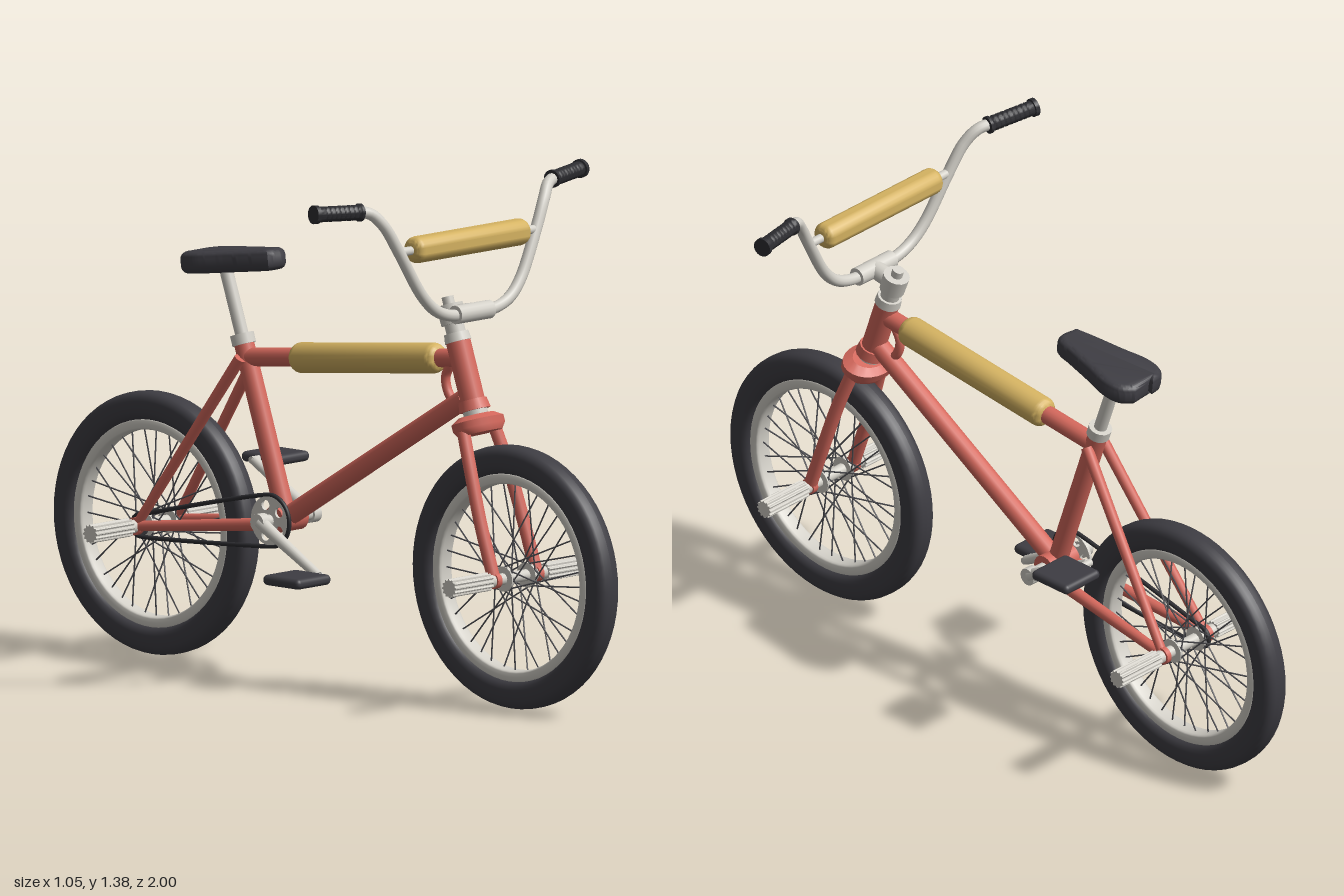
import * as THREE from 'three';
import { mergeGeometries, toCreasedNormals } from 'three/addons/utils/BufferGeometryUtils.js';
import { RoundedBoxGeometry } from 'three/addons/geometries/RoundedBoxGeometry.js';

const mat = (name, color) => {
  const m = new THREE.MeshStandardMaterial({ color });
  m.name = name;
  return m;
};
const V = (x, y, z) => new THREE.Vector3(x, y, z);
const UP = V(0, 1, 0);

const AXLE_Y = 0.355, AXLE_Z = 0.648;
const CRANK = V(0, 0.42, -0.18);
// point on the steering axis at height y
const steer = (y) => V(0, y, AXLE_Z - 0.34 * (y - AXLE_Y));

export function createModel() {
  const red = mat('frame red', 0xd4685c);
  const silver = mat('silver', 0xd3d0c8);
  const gold = mat('pad gold', 0xd4b261);
  const rubber = mat('rubber', 0x3e3d43);
  const black = mat('grip black', 0x2d2d31);
  const steel = mat('spoke steel', 0x55555a);

  const bike = new THREE.Group();
  bike.name = 'bicycle';

  const add = (name, geo, m, parent = bike) => {
    const mesh = new THREE.Mesh(geo, m);
    mesh.name = name;
    parent.add(mesh);
    return mesh;
  };
  // place a y-aligned geometry at a, pointing at b
  const aim = (geo, a, b) => {
    const q = new THREE.Quaternion().setFromUnitVectors(UP, b.clone().sub(a).normalize());
    return geo.applyQuaternion(q).translate(a.x, a.y, a.z);
  };
  const rodGeo = (a, b, ra, rb = ra, sides = 16) => {
    const len = a.distanceTo(b);
    return aim(new THREE.CylinderGeometry(rb, ra, len, sides).translate(0, len / 2, 0), a, b);
  };
  const rod = (name, a, b, ra, m, rb = ra, parent = bike) => add(name, rodGeo(a, b, ra, rb), m, parent);
  const tube = (name, pts, r, m, closed = false, seg = 40) =>
    add(name, new THREE.TubeGeometry(new THREE.CatmullRomCurve3(pts, closed), seg, r, 12, closed), m);
  const lathe = (pts, seg = 24) =>
    toCreasedNormals(new THREE.LatheGeometry(pts.map(p => new THREE.Vector2(...p)), seg), 0.6);
  // foam sleeve with rounded ends
  const pad = (name, a, b, r) => {
    const L = a.distanceTo(b), e = r * 0.6, pts = [[0, 0]];
    for (let i = 0; i <= 5; i++) {
      const t = i / 5 * Math.PI / 2;
      pts.push([r - e + e * Math.sin(t), e - e * Math.cos(t)]);
    }
    for (let i = 5; i >= 0; i--) pts.push([pts[i + 1][0], L - pts[i + 1][1]]);
    pts.push([0, L]);
    return add(name, aim(lathe(pts), a, b), gold);
  };

  // ridged foot peg
  const pegShape = new THREE.Shape();
  for (let i = 0; i < 48; i++) {
    const t = i / 48 * Math.PI * 2, r = i % 4 < 2 ? 0.025 : 0.021;
    pegShape[i ? 'lineTo' : 'moveTo'](Math.cos(t) * r, Math.sin(t) * r);
  }
  const pegGeo = new THREE.ExtrudeGeometry(pegShape, { depth: 0.15, bevelEnabled: false })
    .rotateY(Math.PI / 2).translate(0.108, 0, 0);

  // wheels: tyre, rim, hub, crossed spokes, nuts and pegs
  const superRing = (rc, hr, hw, power, n) => {
    const pts = [];
    for (let i = 0; i <= n; i++) {
      const t = i / n * Math.PI * 2, c = Math.cos(t), s = Math.sin(t);
      pts.push(new THREE.Vector2(rc + hr * Math.sign(c) * Math.abs(c) ** power, hw * Math.sign(s) * Math.abs(s) ** power));
    }
    return new THREE.LatheGeometry(pts, 64).rotateZ(Math.PI / 2);
  };
  const makeWheel = (name, z) => {
    const w = new THREE.Group();
    w.name = name;
    w.position.set(0, AXLE_Y, z);
    bike.add(w);
    add('tyre', superRing(0.313, 0.039, 0.039, 0.75, 24), rubber, w);
    add('rim', superRing(0.265, 0.016, 0.026, 0.5, 16), silver, w);
    rod('hub', V(-0.075, 0, 0), V(0.075, 0, 0), 0.016, silver, 0.016, w);
    const spokes = [];
    for (let i = 0; i < 36; i++) {
      const side = i % 2 ? 1 : -1, rimA = i / 36 * Math.PI * 2;
      const hubA = rimA + (i % 4 < 2 ? 1.2 : -1.2);
      spokes.push(rodGeo(V(side * 0.045, Math.cos(hubA) * 0.03, Math.sin(hubA) * 0.03),
        V(0, Math.cos(rimA) * 0.256, Math.sin(rimA) * 0.256), 0.0022, 0.0022, 5));
    }
    add('spokes', mergeGeometries(spokes), steel, w);
    for (const s of [-1, 1]) {
      rod('hubFlange', V(s * 0.041, 0, 0), V(s * 0.049, 0, 0), 0.034, silver, 0.034, w);
      rod('axleNut', V(s * 0.07, 0, 0), V(s * 0.11, 0, 0), 0.018, silver, 0.018, w);
      add('peg', pegGeo, silver, w).rotation.y = s > 0 ? 0 : Math.PI;
    }
  };
  makeWheel('frontWheel', AXLE_Z);
  makeWheel('rearWheel', -AXLE_Z);

  // main frame
  const seatTop = V(0, 0.88, -0.335);
  rod('headTube', steer(0.79), steer(0.962), 0.033, red);
  rod('headTubeCollar', steer(0.785), steer(0.812), 0.043, red, 0.038);
  rod('topTube', V(0, 0.918, 0.44), V(0, 0.836, -0.316), 0.025, red);
  rod('downTube', V(0, 0.815, 0.47), CRANK, 0.027, red);
  rod('seatTube', CRANK, seatTop, 0.027, red);
  rod('bottomBracket', V(-0.05, 0.42, -0.18), V(0.05, 0.42, -0.18), 0.036, red);
  tube('headGusset', [V(0, 0.9, 0.415), V(0, 0.865, 0.397), V(0, 0.83, 0.402), V(0, 0.79, 0.43)], 0.013, red);
  pad('topTubePad', V(0, 0.911, 0.378), V(0, 0.853, -0.147), 0.041);
  for (const s of [-1, 1]) {
    rod('seatStay', V(s * 0.03, 0.836, -0.318), V(s * 0.08, AXLE_Y, -AXLE_Z), 0.016, red, 0.013);
    rod('chainStay', V(s * 0.045, 0.408, -0.185), V(s * 0.08, AXLE_Y, -AXLE_Z), 0.018, red, 0.014);
    rod('rearDropout', V(s * 0.073, AXLE_Y, -AXLE_Z), V(s * 0.088, AXLE_Y, -AXLE_Z), 0.024, red);
    // fork legs
    tube('forkLeg', [V(s * 0.06, 0.74, 0.515), V(s * 0.072, 0.64, 0.552), V(s * 0.081, 0.5, 0.598),
      V(s * 0.082, AXLE_Y, AXLE_Z)], 0.018, red);
    rod('forkEnd', V(s * 0.073, AXLE_Y, AXLE_Z), V(s * 0.09, AXLE_Y, AXLE_Z), 0.022, red);
  }
  const crown = lathe([[0, -0.026], [0.05, -0.026], [0.06, -0.008], [0.06, 0.01], [0.04, 0.024], [0, 0.024]]);
  add('forkCrown', aim(crown.scale(1.36, 1, 1), steer(0.75), steer(0.8)), red);

  // headset and stem
  rod('lowerHeadsetCup', steer(0.765), steer(0.786), 0.033, silver);
  rod('upperHeadsetCup', steer(0.962), steer(0.985), 0.036, silver, 0.033);
  rod('stemPost', steer(0.985), steer(1.012), 0.026, silver);
  rod('stemBody', steer(1.008), steer(1.058), 0.034, silver, 0.036);
  rod('stemBolt', steer(1.055), steer(1.078), 0.016, silver);
  rod('stemNeck', steer(1.033), V(0, 1.047, 0.492), 0.025, silver);
  rod('barClamp', V(-0.066, 1.047, 0.492), V(0.066, 1.047, 0.492), 0.025, silver);

  // handlebar
  const half = [[0.08, 1.047, 0.492], [0.14, 1.067, 0.492], [0.19, 1.112, 0.488], [0.265, 1.235, 0.475],
    [0.31, 1.31, 0.462], [0.345, 1.346, 0.445], [0.39, 1.354, 0.43], [0.505, 1.359, 0.405]];
  tube('handlebar', [...half.map(([x, y, z]) => V(-x, y, z)).reverse(), V(0, 1.047, 0.492),
    ...half.map(p => V(...p))], 0.016, silver, false, 120);
  rod('crossbar', V(-0.265, 1.236, 0.475), V(0.265, 1.236, 0.475), 0.012, silver);
  pad('crossbarPad', V(-0.22, 1.236, 0.475), V(0.22, 1.236, 0.475), 0.036);
  const gripProfile = [[0, 0], [0.025, 0], [0.025, 0.012], [0.02, 0.013]];
  for (let i = 1; i < 9; i++) {
    const y = 0.013 + i * 0.015;
    gripProfile.push([0.021, y], [0.019, y + 0.004], [0.021, y + 0.008]);
  }
  gripProfile.push([0.024, 0.145], [0.024, 0.153], [0, 0.155]);
  for (const s of [-1, 1])
    add('grip', aim(lathe(gripProfile), V(s * 0.52, 1.36, 0.402), V(s * 0.37, 1.352, 0.434)), black);

  // seat post and saddle
  rod('seatClamp', V(0, 0.868, -0.331), V(0, 0.895, -0.34), 0.032, silver);
  rod('seatPost', seatTop, V(0, 1.085, -0.405), 0.018, silver);
  const outline = [[0.022, 0.13], [0.034, 0.08], [0.05, 0.0], [0.066, -0.07], [0.062, -0.115], [0.04, -0.135]];
  const saddleShape = new THREE.Shape();
  saddleShape.moveTo(-0.022, 0.13);
  saddleShape.splineThru(outline.map(p => new THREE.Vector2(...p)));
  saddleShape.lineTo(-0.04, -0.135);
  saddleShape.splineThru(outline.map(([x, y]) => new THREE.Vector2(-x, y)).reverse());
  const saddleGeo = new THREE.ExtrudeGeometry(saddleShape,
    { depth: 0.02, bevelSize: 0.02, bevelThickness: 0.019, bevelSegments: 4, curveSegments: 12 });
  const saddle = add('saddle', toCreasedNormals(saddleGeo.rotateX(Math.PI / 2), 0.7), rubber);
  saddle.position.set(0, 1.102, -0.36);
  saddle.rotation.x = -0.12;

  // cranks and pedals
  rod('crankAxle', V(-0.112, 0.42, -0.18), V(0.112, 0.42, -0.18), 0.017, silver);
  for (const s of [-1, 1]) {
    const end = V(s * 0.1, 0.42 + s * 0.12, -0.18 - s * 0.21);
    rod('crankArm', V(s * 0.1, 0.42, -0.18), end, 0.018, silver, 0.013);
    rod('crankBoss', V(s * 0.086, 0.42, -0.18), V(s * 0.114, 0.42, -0.18), 0.024, silver);
    rod('pedalAxle', end.clone().setX(s * 0.09), end.clone().setX(s * 0.15), 0.01, silver);
    add('pedal', new RoundedBoxGeometry(0.133, 0.028, 0.133, 3, 0.013), rubber)
      .position.set(s * 0.184, end.y, end.z);
  }

  // chainring, rear cog and chain
  const ring = new THREE.Shape().absarc(0, 0, 0.066, 0, Math.PI * 2);
  for (let i = 0; i < 5; i++) {
    const t = i / 5 * Math.PI * 2;
    ring.holes.push(new THREE.Path().absarc(Math.cos(t) * 0.043, Math.sin(t) * 0.043, 0.014, 0, Math.PI * 2, true));
  }
  add('chainring', new THREE.ExtrudeGeometry(ring, { depth: 0.008, bevelEnabled: false, curveSegments: 24 })
    .rotateY(Math.PI / 2), silver).position.set(-0.066, CRANK.y, CRANK.z);
  rod('rearCog', V(-0.066, AXLE_Y, -AXLE_Z), V(-0.058, AXLE_Y, -AXLE_Z), 0.028, steel);
  const chain = [];
  for (const [y, z, r, start] of [[CRANK.y, CRANK.z, 0.069, 0], [AXLE_Y, -AXLE_Z, 0.03, Math.PI]])
    for (let i = 0; i <= 10; i++) {
      const t = start + i / 10 * Math.PI;
      chain.push(V(-0.062, y + Math.cos(t) * r, z + Math.sin(t) * r));
    }
  tube('chain', chain, 0.006, black, true, 160);

  return bike;
}
